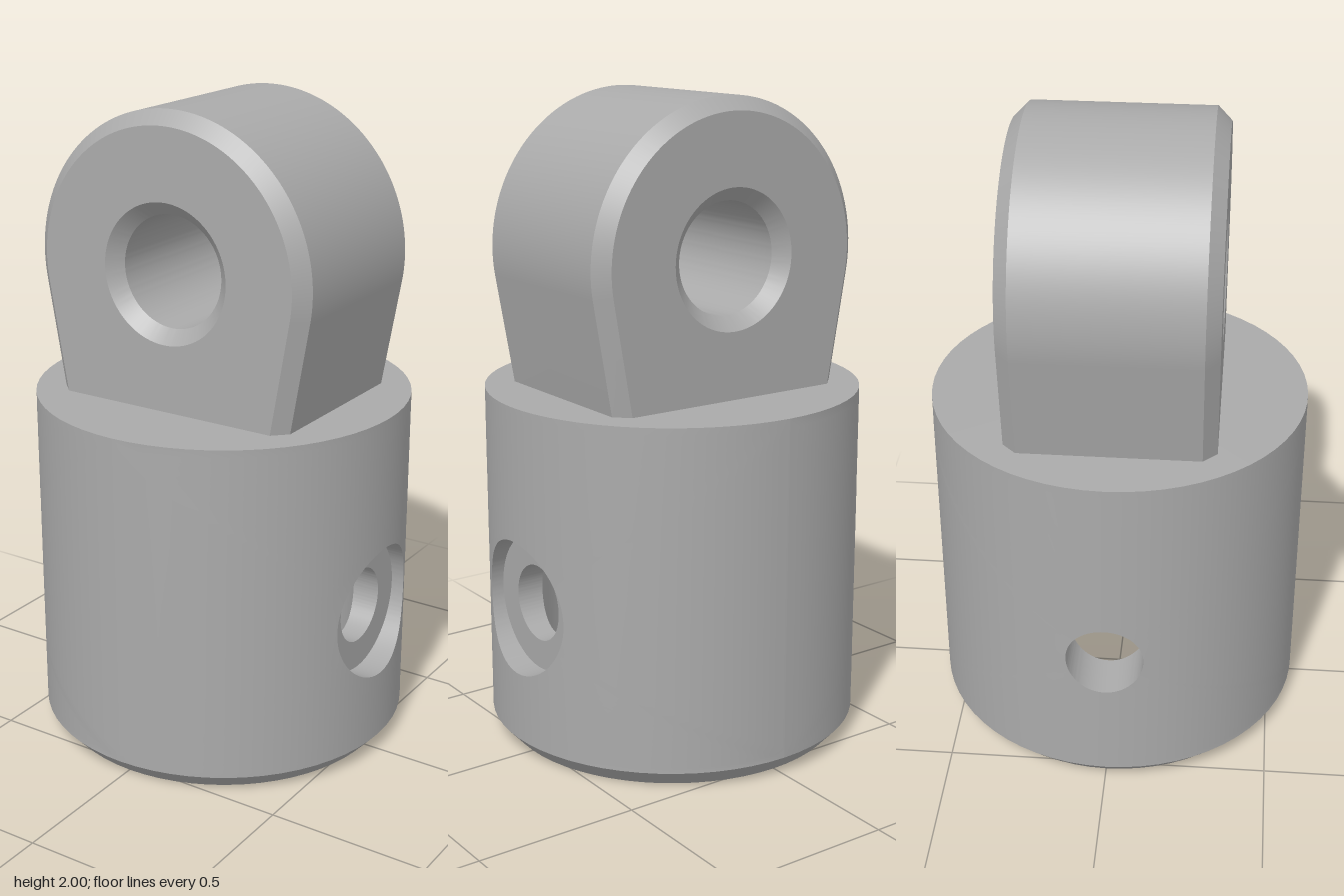
import * as THREE from 'three';
import { toCreasedNormals } from 'three/addons/utils/BufferGeometryUtils.js';

const R = 0.58, BORE = 0.43, TOP = 1.106, CHAMFER = 0.055, CAVITY = 0.92;
const HOLE_Y = 0.48, HOLE_R = 0.118, RECESS_R = 0.21, RECESS_X = 0.5;
const EDGE = 32;

// Point on a cylinder around y; w is the angle to the right as seen from that side
const onCylinder = (side, radius, w, y) =>
  new THREE.Vector3(side * radius * Math.cos(w), y, -side * radius * Math.sin(w));

// Counter-clockwise rectangle of (angle, y) points covering half a cylinder
function halfWallOutline(y0, y1) {
  const h = Math.PI / 2;
  const corners = [[h, y0], [h, y1], [-h, y1], [-h, y0]];
  const pts = [];
  corners.forEach((a, i) => {
    const b = corners[(i + 1) % 4];
    for (let k = 0; k < EDGE; k++) {
      const t = k / EDGE;
      pts.push([a[0] + (b[0] - a[0]) * t, a[1] + (b[1] - a[1]) * t]);
    }
  });
  return pts;
}

// Directions around a hole shared by all of its rings
const holeAngles = halfWallOutline(CHAMFER, TOP).map(([w, y]) => Math.atan2(y - HOLE_Y, w * R));

// Hole edge on a cylinder, and on a flat plane across x
const edgeOnCylinder = (side, r, radius) => holeAngles.map((a) =>
  onCylinder(side, radius, Math.asin((r * Math.cos(a)) / radius), HOLE_Y + r * Math.sin(a)));
const edgeOnPlane = (side, r, x) => holeAngles.map((a) =>
  new THREE.Vector3(side * x, HOLE_Y + r * Math.sin(a), -side * r * Math.cos(a)));

// Closed rings joined in order, inner or far ring first
function loft(rings, flip = false) {
  const n = rings[0].length, index = [];
  for (let j = 0; j < rings.length - 1; j++) {
    for (let k = 0; k < n; k++) {
      const a = j * n + k, d = j * n + ((k + 1) % n), b = a + n, c = d + n;
      if (flip) index.push(a, c, b, a, d, c);
      else index.push(a, b, c, a, c, d);
    }
  }
  const geo = new THREE.BufferGeometry().setFromPoints(rings.flat());
  geo.setIndex(index);
  return toCreasedNormals(geo, 0.5);
}

// Half of a cylinder wall with a round hole through it
function halfWall(side, radius, r, y0, y1, inward) {
  const outline = halfWallOutline(y0, y1);
  const rings = [];
  const steps = 20;
  for (let j = 0; j <= steps; j++) {
    const t = j / steps;
    rings.push(outline.map(([w, y], k) => {
      const a = holeAngles[k];
      const hw = Math.asin((r * Math.cos(a)) / radius), hy = HOLE_Y + r * Math.sin(a);
      return onCylinder(side, radius, hw + (w - hw) * t, hy + (y - hy) * t);
    }));
  }
  return loft(rings, inward);
}

function lathe(points) {
  const geo = new THREE.LatheGeometry(points.map(([x, y]) => new THREE.Vector2(x, y)), EDGE * 2);
  return toCreasedNormals(geo, 0.5);
}

// Rounded lug with sides tapering inwards, pierced by a pin hole
function lugGeometry() {
  const r = 0.472, cy = 1.525, taper = THREE.MathUtils.degToRad(10), bevel = 0.042, z = 0.315;
  const bottom = TOP - 0.1;
  const tx = r * Math.cos(taper), ty = cy - r * Math.sin(taper);
  const bx = tx - (ty - bottom) * Math.tan(taper);
  const shape = new THREE.Shape();
  shape.moveTo(-bx, bottom);
  shape.lineTo(bx, bottom);
  shape.lineTo(tx, ty);
  shape.absarc(0, cy, r, -taper, Math.PI + taper, false);
  shape.closePath();
  const hole = new THREE.Path();
  hole.absarc(0, cy, 0.17, 0, Math.PI * 2, true);
  shape.holes.push(hole);
  const depth = 2 * (z - bevel);
  const geo = new THREE.ExtrudeGeometry(shape, {
    depth, curveSegments: 64, bevelEnabled: true, bevelSegments: 1,
    bevelSize: bevel, bevelThickness: bevel, bevelOffset: -bevel,
  });
  geo.translate(0, 0, -depth / 2);
  return toCreasedNormals(geo, 0.5);
}

export function createModel() {
  const group = new THREE.Group();
  const steel = new THREE.MeshStandardMaterial({ color: 0xaaaaaa, side: THREE.DoubleSide });
  steel.name = 'grey steel';
  const add = (name, geo) => {
    const mesh = new THREE.Mesh(geo, steel);
    mesh.name = name;
    group.add(mesh);
  };

  // Socket: outer and inner walls, each in two halves with a side hole
  for (const side of [1, -1]) {
    const label = side > 0 ? 'left' : 'right';
    add(label + 'OuterWall', halfWall(side, R, side > 0 ? RECESS_R : HOLE_R, CHAMFER, TOP, false));
    add(label + 'InnerWall', halfWall(side, BORE, HOLE_R, 0, CAVITY, true));
  }
  add('bottomRim', lathe([[BORE, 0], [0.53, 0], [R, CHAMFER]]));
  add('socketTop', lathe([[R, TOP], [0, TOP]]));
  add('socketCeiling', lathe([[0, CAVITY], [BORE, CAVITY]]));

  // Stepped screw hole on the left, plain hole on the right
  add('screwRecess', loft([edgeOnPlane(1, RECESS_R, RECESS_X), edgeOnCylinder(1, RECESS_R, R)]));
  add('screwSeat', loft([edgeOnPlane(1, HOLE_R, RECESS_X), edgeOnPlane(1, RECESS_R, RECESS_X)]));
  add('leftScrewHole', loft([edgeOnCylinder(1, HOLE_R, BORE), edgeOnPlane(1, HOLE_R, RECESS_X)]));
  add('rightScrewHole', loft([edgeOnCylinder(-1, HOLE_R, BORE), edgeOnCylinder(-1, HOLE_R, R)]));

  add('lug', lugGeometry());
  return group;
}
